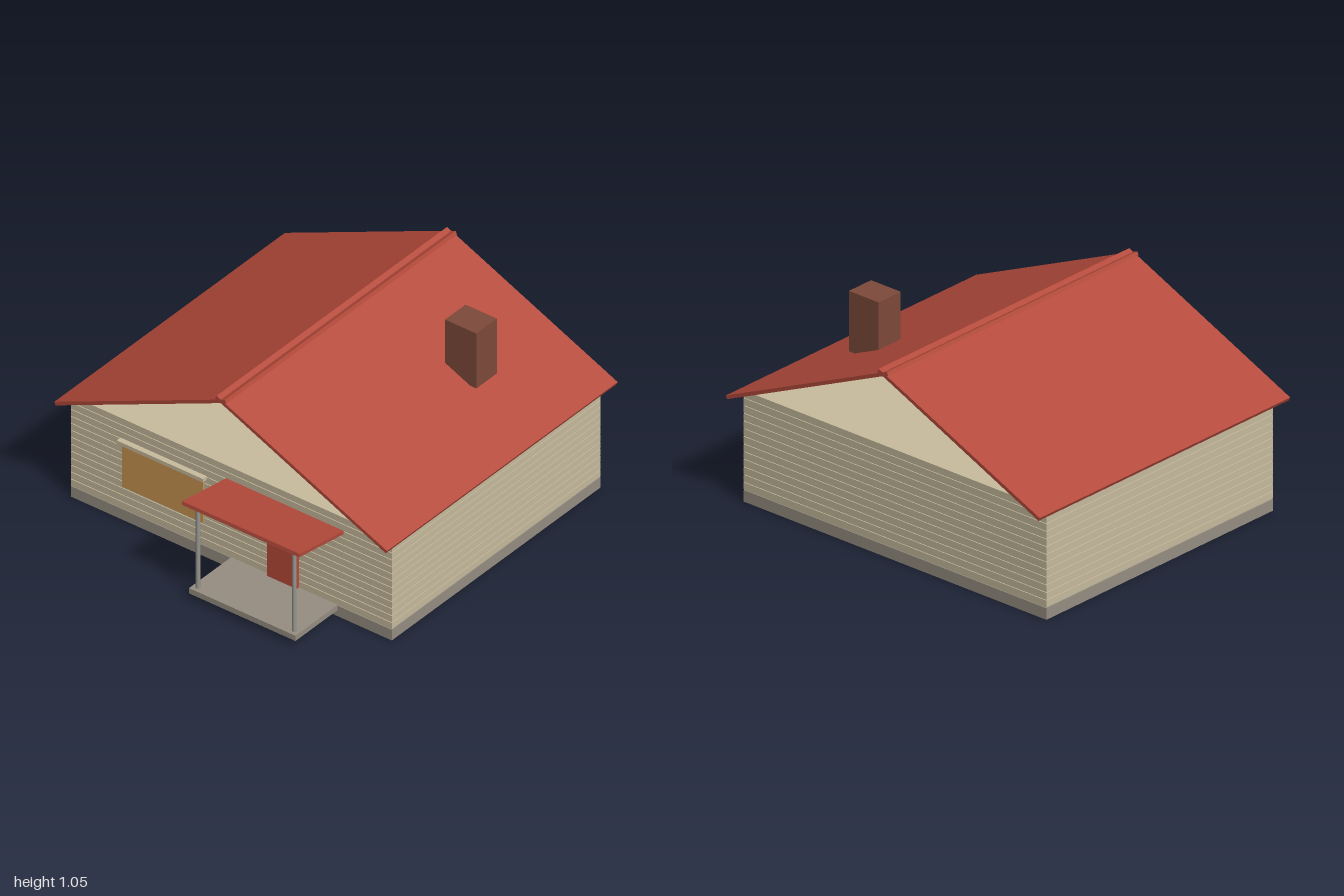
import * as THREE from 'three';

const mat = (name, color) => {
  const m = new THREE.MeshStandardMaterial({ color });
  m.name = name;
  return m;
};

export function createModel() {
  const house = new THREE.Group();
  house.name = 'house';

  const siding = mat('cream siding', 0xc8bc9e);
  const red = mat('roof red', 0xb44a3b);
  const doorRed = mat('door red', 0xb84a3a);
  const concrete = mat('concrete', 0x968e82);
  const brick = mat('chimney brown', 0x7e4a3a);
  const amber = mat('window amber', 0xcb9550);
  const steel = mat('post grey', 0x96958f);

  const add = (name, geometry, material, parent = house) => {
    const mesh = new THREE.Mesh(geometry, material);
    mesh.name = name;
    parent.add(mesh);
    return mesh;
  };
  // Box given by its lower and upper limits on each axis
  const box = (name, [x0, x1], [y0, y1], [z0, z1], material, parent) => {
    const mesh = add(name, new THREE.BoxGeometry(x1 - x0, y1 - y0, z1 - z0), material, parent);
    mesh.position.set((x0 + x1) / 2, (y0 + y1) / 2, (z0 + z1) / 2);
    return mesh;
  };
  // Outline in x and y, pulled along z
  const prism = (name, points, z0, z1, material, parent) => {
    const shape = new THREE.Shape(points.map(([x, y]) => new THREE.Vector2(x, y)));
    const geometry = new THREE.ExtrudeGeometry(shape, { depth: z1 - z0, bevelEnabled: false });
    geometry.translate(0, 0, z0);
    return add(name, geometry, material, parent);
  };

  // Foundation and wall core; the core's top is the attic floor
  box('foundation', [-0.95, 0.95], [0, 0.06], [-0.915, 0.665], concrete);
  box('wallCore', [-0.945, 0.945], [0.06, 0.574], [-0.91, 0.66], siding);

  // Clapboards wrap all four walls, with a narrow groove between courses
  const boards = new THREE.Group();
  boards.name = 'clapboards';
  house.add(boards);
  const courses = 13, pitch = 0.515 / courses;
  for (let i = 0; i < courses; i++) {
    const y = 0.06 + i * pitch;
    box('clapboard', [-0.95, 0.95], [y + 0.004, y + pitch], [-0.915, 0.665], siding, boards);
  }

  // Gable roof with open ends
  const roof = new THREE.Group();
  roof.name = 'roof';
  house.add(roof);
  const slope = Math.atan2(0.437, 0.985);
  for (const s of [-1, 1]) {
    prism('roofSlope', [[0, 0.985], [s * 0.977, 0.551], [s * 0.985, 0.568], [0, 1.005]],
      -1, 0.745, red, roof);
    const cap = add('ridgeCap', new THREE.BoxGeometry(0.034, 0.02, 1.745), red, roof);
    cap.position.set(s * 0.014, 0.999, -0.1275);
    cap.rotation.z = s * slope;
  }

  box('chimney', [0.46, 0.645], [0.735, 1.047], [-0.52, -0.365], brick);

  // Window with its head trim
  box('window', [-0.64, -0.16], [0.195, 0.445], [0.66, 0.674], amber);
  box('windowHead', [-0.655, -0.145], [0.443, 0.463], [0.66, 0.695], siding);

  // Door and porch
  box('door', [0.225, 0.4], [0.06, 0.415], [0.655, 0.682], doorRed);
  box('porchFloor', [0, 0.63], [0.035, 0.065], [0.665, 0.985], concrete);
  for (const x of [0.03, 0.6]) {
    const post = add('porchPost', new THREE.CylinderGeometry(0.011, 0.011, 0.445, 12), steel);
    post.position.set(x, 0.2875, 0.955);
  }

  // Canopy rises towards its front edge
  const canopy = add('porchCanopy', new THREE.BoxGeometry(0.695, 0.019, 0.342), red);
  canopy.position.set(0.317, 0.517, 0.83);
  canopy.rotation.x = -Math.atan2(0.053, 0.338);

  return house;
}
